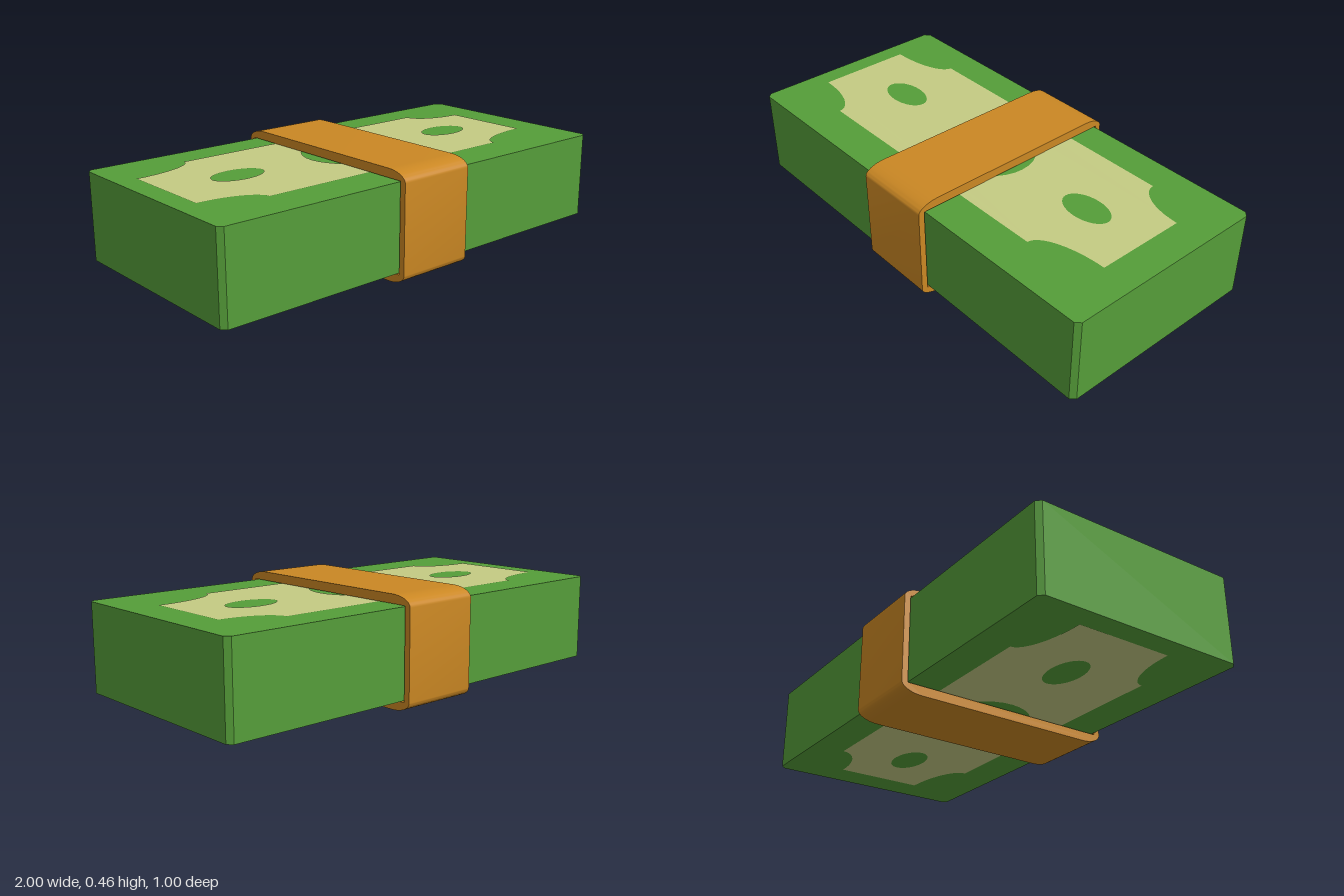
import * as THREE from 'three';
import { toCreasedNormals } from 'three/addons/utils/BufferGeometryUtils.js';

const BOTTOM = 0.047, TOP = 0.421;

// Stack outline: a rectangle with small chamfered corners
function stackGeometry() {
  const w = 1, d = 0.467, c = 0.02;
  const points = [
    [-w + c, -d], [w - c, -d], [w, -d + c], [w, d - c],
    [w - c, d], [-w + c, d], [-w, d - c], [-w, -d + c],
  ].map(([x, y]) => new THREE.Vector2(x, y));
  return new THREE.ExtrudeGeometry(new THREE.Shape(points), { depth: TOP - BOTTOM, bevelEnabled: false })
    .rotateX(-Math.PI / 2)
    .translate(0, BOTTOM, 0);
}

// Printed panel with scooped corners and oval openings; side is 1 for top, -1 for bottom
function printGeometry(side) {
  const steps = 10;
  // corner x, corner z, scoop width, scoop depth, and whether the scoop runs backwards
  const corners = [
    [-0.912, -0.324, 0.272, 0.097, false],
    [0.853, -0.324, -0.219, 0.113, true],
    [0.853, 0.295, -0.289, -0.108, false],
    [-0.912, 0.295, 0.248, -0.103, true],
  ];
  const points = [];
  for (const [x, z, rx, rz, reversed] of corners) {
    for (let i = 0; i <= steps; i++) {
      const a = (reversed ? steps - i : i) / steps * Math.PI / 2;
      points.push(new THREE.Vector2(x + rx * Math.sin(a), -side * (z + rz * Math.cos(a))));
    }
  }
  const shape = new THREE.Shape(points);
  const ovals = [[-0.585, -0.02, 0.117, 0.07], [-0.01, -0.008, 0.217, 0.2], [0.564, -0.018, 0.115, 0.07]];
  for (const [x, z, rx, rz] of ovals) {
    shape.holes.push(new THREE.Path().absellipse(x, -side * z, rx, rz, 0, Math.PI * 2, true));
  }
  return new THREE.ShapeGeometry(shape, 16)
    .rotateX(-side * Math.PI / 2)
    .translate(0, side > 0 ? TOP + 0.002 : BOTTOM - 0.002, 0);
}

// Hollow paper band with rounded outer corners
function bandGeometry() {
  const w = 0.5, h = 0.463, rx = 0.095, ry = 0.043, q = Math.PI / 2;
  const shape = new THREE.Shape();
  shape.absellipse(w - rx, ry, rx, ry, -q, 0);
  shape.absellipse(w - rx, h - ry, rx, ry, 0, q);
  shape.absellipse(-w + rx, h - ry, rx, ry, q, 2 * q);
  shape.absellipse(-w + rx, ry, rx, ry, 2 * q, 3 * q);
  shape.closePath();
  const hole = [[-0.473, 0.041], [-0.473, 0.425], [0.473, 0.425], [0.473, 0.041]];
  shape.holes.push(new THREE.Path(hole.map(([x, y]) => new THREE.Vector2(x, y))));
  const geometry = new THREE.ExtrudeGeometry(shape, { depth: 0.35, bevelEnabled: false, curveSegments: 6 })
    .rotateY(Math.PI / 2)
    .translate(-0.177, 0, 0);
  return toCreasedNormals(geometry, 0.8);
}

export function createModel() {
  const material = (name, color) => {
    const m = new THREE.MeshStandardMaterial({ color });
    m.name = name;
    return m;
  };
  const green = material('note green', 0x559d39);
  const cream = material('print cream', 0xc4cb83);
  const orange = material('band orange', 0xca8723);

  const model = new THREE.Group();
  model.name = 'banknoteBundle';
  const add = (name, geometry, mat) => {
    const mesh = new THREE.Mesh(geometry, mat);
    mesh.name = name;
    model.add(mesh);
  };

  add('noteStack', stackGeometry(), green);
  add('topPrint', printGeometry(1), cream);
  add('bottomPrint', printGeometry(-1), cream);
  add('paperBand', bandGeometry(), orange);
  return model;
}
